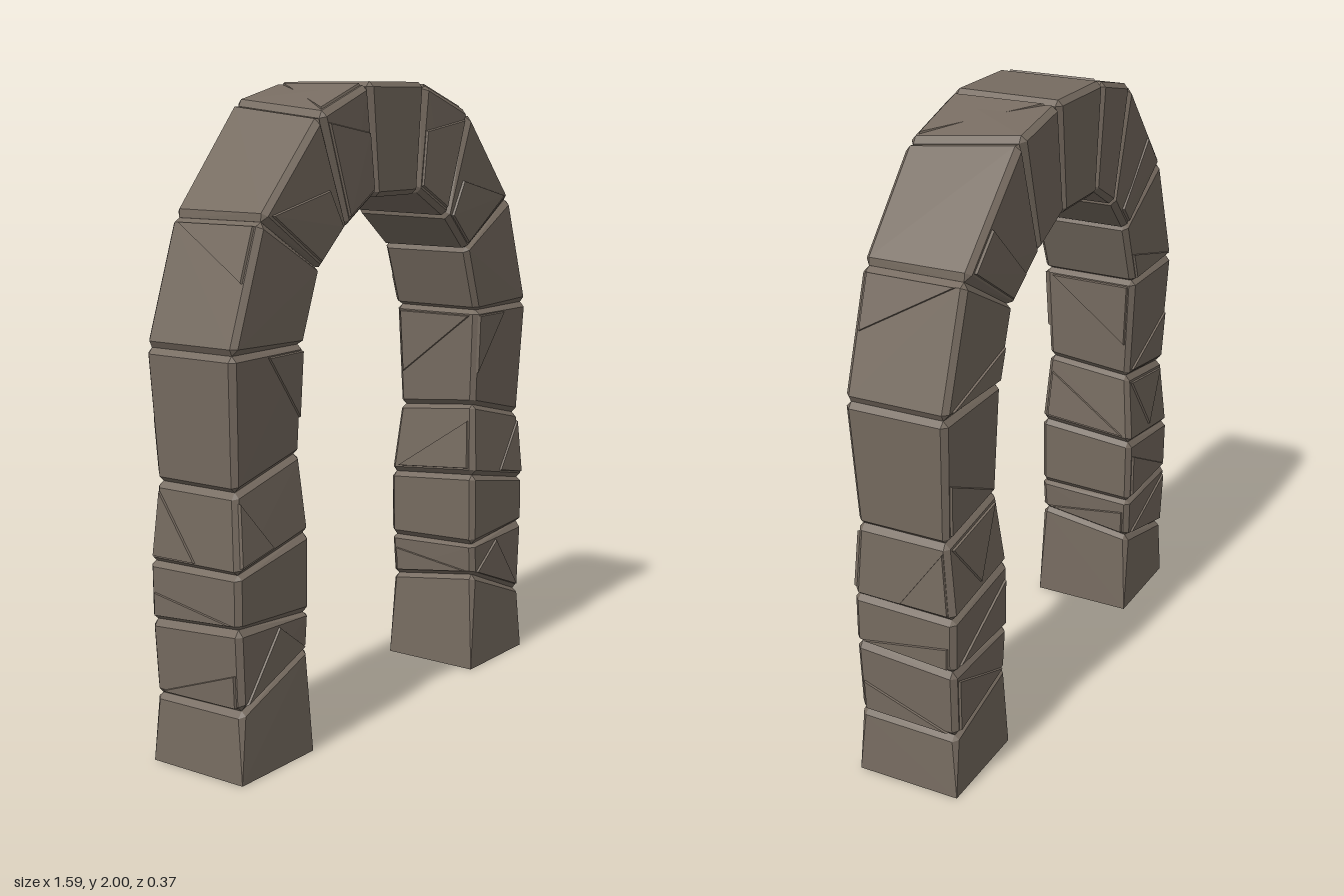
import * as THREE from 'three';
import { ConvexGeometry } from 'three/addons/geometries/ConvexGeometry.js';

// Joints between stones, from the ground to the keystone:
// front outer x,y | front inner x,y | back outer x,y | back inner x,y | front z, back z
const JOINTS = [
  [0.785, 0.00, 0.45, 0.00, 0.785, 0.00, 0.45, 0.00, 0.173, -0.167],
  [0.775, 0.21, 0.465, 0.34, 0.775, 0.205, 0.465, 0.29, 0.168, -0.165],
  [0.788, 0.465, 0.457, 0.44, 0.788, 0.44, 0.457, 0.43, 0.17, -0.17],
  [0.788, 0.62, 0.455, 0.69, 0.788, 0.615, 0.455, 0.66, 0.17, -0.172],
  [0.775, 0.855, 0.478, 0.93, 0.775, 0.855, 0.478, 0.90, 0.152, -0.147],
  [0.798, 1.25, 0.47, 1.25, 0.798, 1.25, 0.47, 1.25, 0.167, -0.163],
  [0.668, 1.62, 0.395, 1.46, 0.668, 1.62, 0.395, 1.46, 0.17, -0.163],
  [0.398, 1.907, 0.272, 1.573, 0.365, 1.945, 0.262, 1.58, 0.175, -0.18],
  [0.15, 1.995, 0.112, 1.665, 0.15, 1.995, 0.112, 1.665, 0.167, -0.186],
];

// Raised slabs that read as cracks: stone, face, outline in face coordinates.
// u runs outer to inner (front, back) or front to back (outer, inner); v runs up the stone.
const CHIPS = [
  [1, 'front', [[0.03, 0.05], [0.97, 0.05], [0.55, 0.93]]],
  [3, 'front', [[0.03, 0.92], [0.03, 0.07], [0.5, 0.07]]],
  [4, 'front', [[0.45, 0.96], [0.97, 0.96], [0.97, 0.3]]],
  [6, 'front', [[0.04, 0.06], [0.55, 0.85], [0.96, 0.92], [0.96, 0.06]]],
  [7, 'front', [[0.06, 0.06], [0.4, 0.94], [0.96, 0.94], [0.96, 0.06]]],
  [1, 'back', [[0.04, 0.06], [0.96, 0.06], [0.04, 0.9]]],
  [2, 'back', [[0.04, 0.08], [0.96, 0.08], [0.96, 0.8]]],
  [3, 'back', [[0.04, 0.92], [0.96, 0.92], [0.5, 0.1]]],
  [4, 'back', [[0.04, 0.05], [0.96, 0.05], [0.04, 0.5]]],
  [5, 'back', [[0.04, 0.05], [0.96, 0.05], [0.96, 0.5]]],
  [6, 'back', [[0.04, 0.06], [0.96, 0.06], [0.96, 0.55], [0.04, 0.4]]],
  [1, 'outer', [[0.04, 0.06], [0.96, 0.06], [0.04, 0.48]]],
  [2, 'outer', [[0.04, 0.07], [0.96, 0.07], [0.96, 0.5]]],
  [3, 'outer', [[0.45, 0.06], [0.96, 0.94], [0.96, 0.06]]],
  [5, 'outer', [[0.04, 0.5], [0.96, 0.96], [0.04, 0.96]]],
  [7, 'outer', [[0.04, 0.06], [0.94, 0.94], [0.04, 0.94]]],
  [1, 'inner', [[0.04, 0.07], [0.96, 0.07], [0.96, 0.7]]],
  [3, 'inner', [[0.04, 0.07], [0.96, 0.07], [0.04, 0.8]]],
  [4, 'inner', [[0.04, 0.96], [0.96, 0.96], [0.96, 0.3]]],
];

const BEVEL = 0.016;
const CHIP_RISE = 0.007;

// Four corners of a joint, indexed [outer/inner][front/back]
function jointCorners(j, side) {
  const [fox, foy, fix, fiy, box, boy, bix, biy, zf, zb] = j;
  const p = (x, y, z) => new THREE.Vector3(x * side, y, z);
  return [[p(fox, foy, zf), p(box, boy, zb)], [p(fix, fiy, zf), p(bix, biy, zb)]];
}

// Point inside a stone: a outer to inner, b front to back, c from lower to upper joint
function pointIn(low, high, a, b, c) {
  const level = (q) => q[0][0].clone().lerp(q[0][1], b)
    .lerp(q[1][0].clone().lerp(q[1][1], b), a);
  return level(low).lerp(level(high), c);
}

// Six-sided stone with chamfered edges
function stoneGeometry(low, high, onGround) {
  const at = (a, b, c) => pointIn(low, high, a, b, c);
  const ta = BEVEL / at(0, 0.5, 0.5).distanceTo(at(1, 0.5, 0.5));
  const tb = BEVEL / at(0.5, 0, 0.5).distanceTo(at(0.5, 1, 0.5));
  const tc = BEVEL / at(0.5, 0.5, 0).distanceTo(at(0.5, 0.5, 1));
  const inset = (end, t) => (end ? 1 - t : t);
  const points = [];
  for (const a of [0, 1]) for (const b of [0, 1]) for (const c of [0, 1]) {
    if (onGround && c === 0) {
      points.push(at(a, b, c));
      continue;
    }
    points.push(
      at(a, inset(b, tb), inset(c, tc)),
      at(inset(a, ta), b, inset(c, tc)),
      at(inset(a, ta), inset(b, tb), c),
    );
  }
  return new ConvexGeometry(points);
}

// Bevelled slab standing just proud of one face of a stone
function chipGeometry(low, high, face, outline) {
  const onFace = {
    front: (u, v) => pointIn(low, high, u, 0, v),
    back: (u, v) => pointIn(low, high, u, 1, v),
    outer: (u, v) => pointIn(low, high, 0, u, v),
    inner: (u, v) => pointIn(low, high, 1, u, v),
  }[face];
  const du = onFace(1, 0.5).sub(onFace(0, 0.5));
  const dv = onFace(0.5, 1).sub(onFace(0.5, 0));
  const normal = du.cross(dv).normalize();
  const outward = onFace(0.5, 0.5).sub(pointIn(low, high, 0.5, 0.5, 0.5));
  if (normal.dot(outward) < 0) normal.negate();

  const rim = outline.map(([u, v]) => onFace(u, v));
  const centre = rim.reduce((s, p) => s.add(p), new THREE.Vector3()).divideScalar(rim.length);
  const points = [];
  for (const p of rim) {
    points.push(p.clone().addScaledVector(normal, -0.02));
    points.push(p.clone().lerp(centre, 0.1).addScaledVector(normal, CHIP_RISE));
  }
  return new ConvexGeometry(points);
}

export function createModel() {
  const arch = new THREE.Group();
  arch.name = 'stoneArch';
  const stone = new THREE.MeshStandardMaterial({ color: 0x766b60, flatShading: true });
  stone.name = 'brown grey stone';

  const add = (parent, name, geometry) => {
    const mesh = new THREE.Mesh(geometry, stone);
    mesh.name = name;
    parent.add(mesh);
  };

  // Mirrored halves: five leg stones, then three arch stones
  for (const side of [1, -1]) {
    const half = new THREE.Group();
    half.name = side > 0 ? 'leftHalf' : 'rightHalf';
    const joints = JOINTS.map((j) => jointCorners(j, side));
    for (let i = 0; i < joints.length - 1; i++) {
      const name = i < 5 ? `legStone${i + 1}` : `archStone${i - 4}`;
      add(half, name, stoneGeometry(joints[i], joints[i + 1], i === 0));
    }
    for (const [i, face, outline] of CHIPS) {
      add(half, `${face}Slab${i + 1}`, chipGeometry(joints[i], joints[i + 1], face, outline));
    }
    arch.add(half);
  }

  // Keystone closing the top
  const top = JOINTS[JOINTS.length - 1].slice();
  top[1] = top[5] = 2;
  top[3] = top[7] = 1.655;
  add(arch, 'keystone', stoneGeometry(jointCorners(top, -1), jointCorners(top, 1), false));

  return arch;
}
